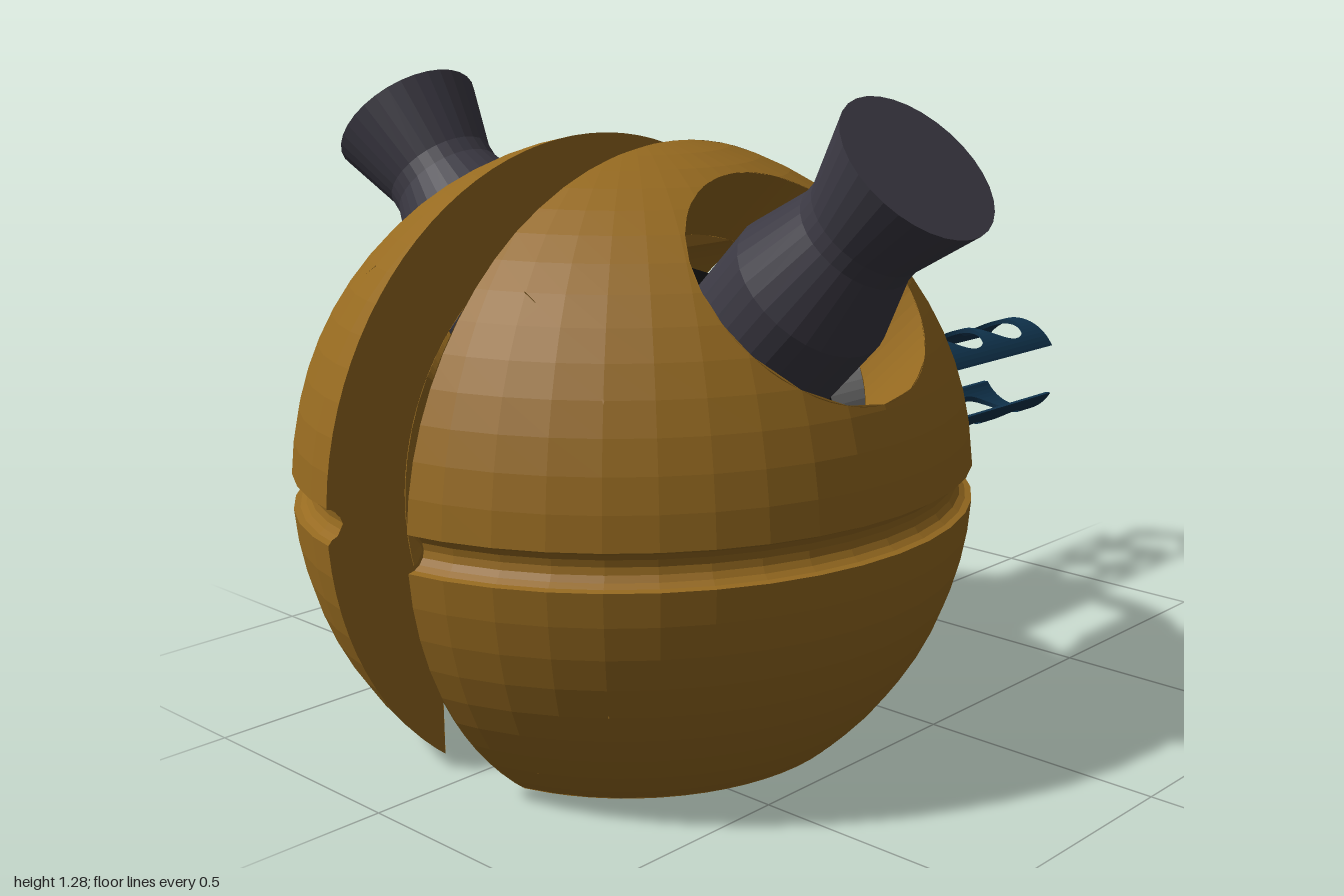
import * as THREE from 'three';

const R = 0.67, RI = 0.5, CX = -0.34, CY = 0.52, GAP = 0.115, GROOVE = 0.035;
const V = (x, y, z) => new THREE.Vector3(x, y, z);
const mat = (color, extra = {}) => new THREE.MeshStandardMaterial({ color, side: THREE.DoubleSide, ...extra });

// Trim a geometry to the region where every rule is positive
function trim(geometry, rules) {
  const p = geometry.toNonIndexed().attributes.position;
  const out = [];
  for (let i = 0; i < p.count; i += 3) {
    let poly = [0, 1, 2].map(k => V().fromBufferAttribute(p, i + k));
    for (const rule of rules) {
      const d = poly.map(rule), next = [];
      poly.forEach((a, k) => {
        const j = (k + 1) % poly.length;
        if (d[k] >= 0) next.push(a);
        if ((d[k] >= 0) !== (d[j] >= 0)) next.push(a.clone().lerp(poly[j], d[k] / (d[k] - d[j])));
      });
      poly = next;
      if (poly.length < 3) break;
    }
    for (let k = 2; k < poly.length; k++) {
      for (const v of [poly[0], poly[k - 1], poly[k]]) out.push(v.x, v.y, v.z);
    }
  }
  const g = new THREE.BufferGeometry();
  g.setAttribute('position', new THREE.Float32BufferAttribute(out, 3));
  g.computeVertexNormals();
  return g;
}

function add(parent, name, geometry, material, pos = [0, 0, 0]) {
  const m = new THREE.Mesh(geometry, material);
  m.name = name;
  m.position.set(...pos);
  parent.add(m);
  return m;
}

// Distance outside a round hole bored along an axis from the centre
const outside = ({ axis, r }) => p => {
  const t = p.dot(axis);
  return t > 0 ? Math.sqrt(Math.max(0, p.lengthSq() - t * t)) - r : 1;
};

// One half of the thick spherical shell (+z side)
function buildShell() {
  const half = new THREE.Group();
  const gold = mat(0x966a20, { flatShading: true });
  const tilt = THREE.MathUtils.degToRad(43);
  const holes = [
    { name: 'stalkHoleWall', axis: V(0, Math.sin(tilt), Math.cos(tilt)), r: 0.26 },
    { name: 'frontHoleWall', axis: V(1, 0, 0), r: 0.42 },
    { name: 'bottomHoleWall', axis: V(0, -1, 0), r: 0.43 },
  ];
  const bored = holes.map(outside);
  const side = p => p.z - GAP;
  const notch = p => Math.hypot(Math.hypot(p.x, p.z) - R, p.y) - GROOVE + 0.001;
  const seams = [-0.465, 0.465].map(x => p => Math.abs(p.x - x) - 0.006);

  // Outer profile with the half-round equator groove
  const pts = [], a0 = GROOVE / R;
  const N = 16;
  for (let i = 0; i <= N; i++) {
    const a = -Math.PI / 2 + (Math.PI / 2 - a0) * i / N;
    pts.push(new THREE.Vector2(Math.max(0, R * Math.cos(a)), R * Math.sin(a)));
  }
  for (let i = 1; i < 8; i++) {
    const a = -Math.PI / 2 + Math.PI * i / 8;
    pts.push(new THREE.Vector2(R - GROOVE * Math.cos(a), GROOVE * Math.sin(a)));
  }
  for (let i = N; i >= 0; i--) pts.push(new THREE.Vector2(pts[i].x, -pts[i].y));
  const outer = new THREE.LatheGeometry(pts, 44);
  add(half, 'outerShell', trim(outer, [side, ...bored, ...seams]), gold);

  // Recessed floors of the two panel seams
  const floor = outer.clone().scale(0.982, 0.982, 0.982);
  seams.forEach(s => add(half, 'seamFloor', trim(floor, [side, ...bored, p => 0.006 - s(p)]), gold));

  add(half, 'innerShell', trim(new THREE.SphereGeometry(RI, 44, 32), [side, ...bored]), gold);

  // Bored walls between the inner and outer surfaces
  holes.forEach((h, i) => {
    const wall = new THREE.CylinderGeometry(h.r, h.r, 0.6, 64, 12, true).translate(0, 0.4, 0);
    wall.applyQuaternion(new THREE.Quaternion().setFromUnitVectors(V(0, 1, 0), h.axis));
    const rules = [side, notch, p => R - p.length(), p => p.length() - RI, ...bored.filter((_, k) => k !== i)];
    add(half, h.name, trim(wall, rules), gold);
  });

  // Flat face along the central gap
  const face = new THREE.RingGeometry(Math.sqrt(RI * RI - GAP * GAP), Math.sqrt(R * R - GAP * GAP), 96, 8);
  face.rotateY(Math.PI).translate(0, 0, GAP);
  add(half, 'gapFace', trim(face, [notch, ...bored]), gold);
  return half;
}

// Eye stalk with a pinched neck
function buildStalk() {
  const g = new THREE.Group();
  const profile = [[0, 0.25], [0.16, 0.25], [0.16, 0.625], [0.118, 0.765], [0.118, 0.8], [0.16, 0.951], [0, 0.951]];
  const geo = new THREE.LatheGeometry(profile.map(p => new THREE.Vector2(...p)), 32).toNonIndexed();
  geo.computeVertexNormals();
  const m = add(g, 'stalk', geo, mat(0x3b3943, { flatShading: true }), [0, -0.02, 0.02]);
  m.rotation.x = Math.PI / 4;
  return g;
}

// Split, perforated muzzle running along x
function buildMuzzle() {
  const g = new THREE.Group();
  const navy = mat(0x10334d);
  const x0 = 0.45, x1 = 1, ro = 0.117, ri = 0.107, slot = 0.06, hr = 0.073;
  const centres = [0.56, 0.722, 0.885];
  const rules = [p => Math.abs(p.y) - slot, ...centres.map(c => p => Math.hypot(p.x - c, p.z) - hr)];
  for (const r of [ro, ri]) {
    const tube = new THREE.CylinderGeometry(r, r, x1 - x0, 64, 56, true);
    tube.rotateZ(Math.PI / 2).translate((x0 + x1) / 2, 0, 0);
    add(g, 'muzzleTube', trim(tube, rules), navy);
  }
  const radius = p => Math.hypot(p.y, p.z);
  for (const c of centres) {
    const wall = new THREE.CylinderGeometry(hr, hr, 0.25, 48, 24, true).translate(c, 0, 0);
    add(g, 'ventWall', trim(wall, [rules[0], p => ro - radius(p), p => radius(p) - ri]), navy);
  }
  // Slot edges and muzzle end
  const zo = Math.sqrt(ro * ro - slot * slot), zi = Math.sqrt(ri * ri - slot * slot);
  for (const sy of [-1, 1]) for (const sz of [-1, 1]) {
    const strip = new THREE.PlaneGeometry(x1 - x0, zo - zi).rotateX(Math.PI / 2);
    add(g, 'slotEdge', strip, navy, [(x0 + x1) / 2, sy * slot, sz * (zo + zi) / 2]);
  }
  const end = new THREE.RingGeometry(ri, ro, 64).rotateY(Math.PI / 2).translate(x1, 0, 0);
  add(g, 'muzzleEnd', trim(end, [rules[0]]), navy);
  return g;
}

export function createModel() {
  const model = new THREE.Group();
  for (const s of [1, -1]) {
    const half = new THREE.Group();
    half.name = s > 0 ? 'frontHalf' : 'backHalf';
    half.add(buildShell(), buildStalk());
    half.position.set(CX, CY, 0);
    half.scale.z = s;
    model.add(half);
  }

  add(model, 'core', new THREE.SphereGeometry(0.415, 48, 32), mat(0x0b0b0b), [CX, CY, 0]);

  // Ring around the front opening
  const ring = new THREE.TorusGeometry(0.383, 0.03, 16, 64).rotateY(Math.PI / 2);
  add(model, 'frontRing', ring, mat(0x8a4f3d), [0.21, CY, 0]);

  // Blue collar on the core
  const collar = new THREE.TorusGeometry(0.162, 0.015, 12, 48).rotateY(Math.PI / 2);
  add(model, 'collar', collar, mat(0x2148d0), [0.035, CY, 0]);

  // Hollow barrel
  const section = [[0.128, 0.03], [0.138, 0.03], [0.138, 0.47], [0.128, 0.47], [0.128, 0.03]];
  const barrel = new THREE.LatheGeometry(section.map(p => new THREE.Vector2(...p)), 40).rotateZ(-Math.PI / 2);
  add(model, 'barrel', trim(barrel, []), mat(0x747474, { flatShading: true }), [0, CY, 0]);

  const muzzle = buildMuzzle();
  muzzle.name = 'muzzle';
  muzzle.position.y = CY;
  model.add(muzzle);
  return model;
}
